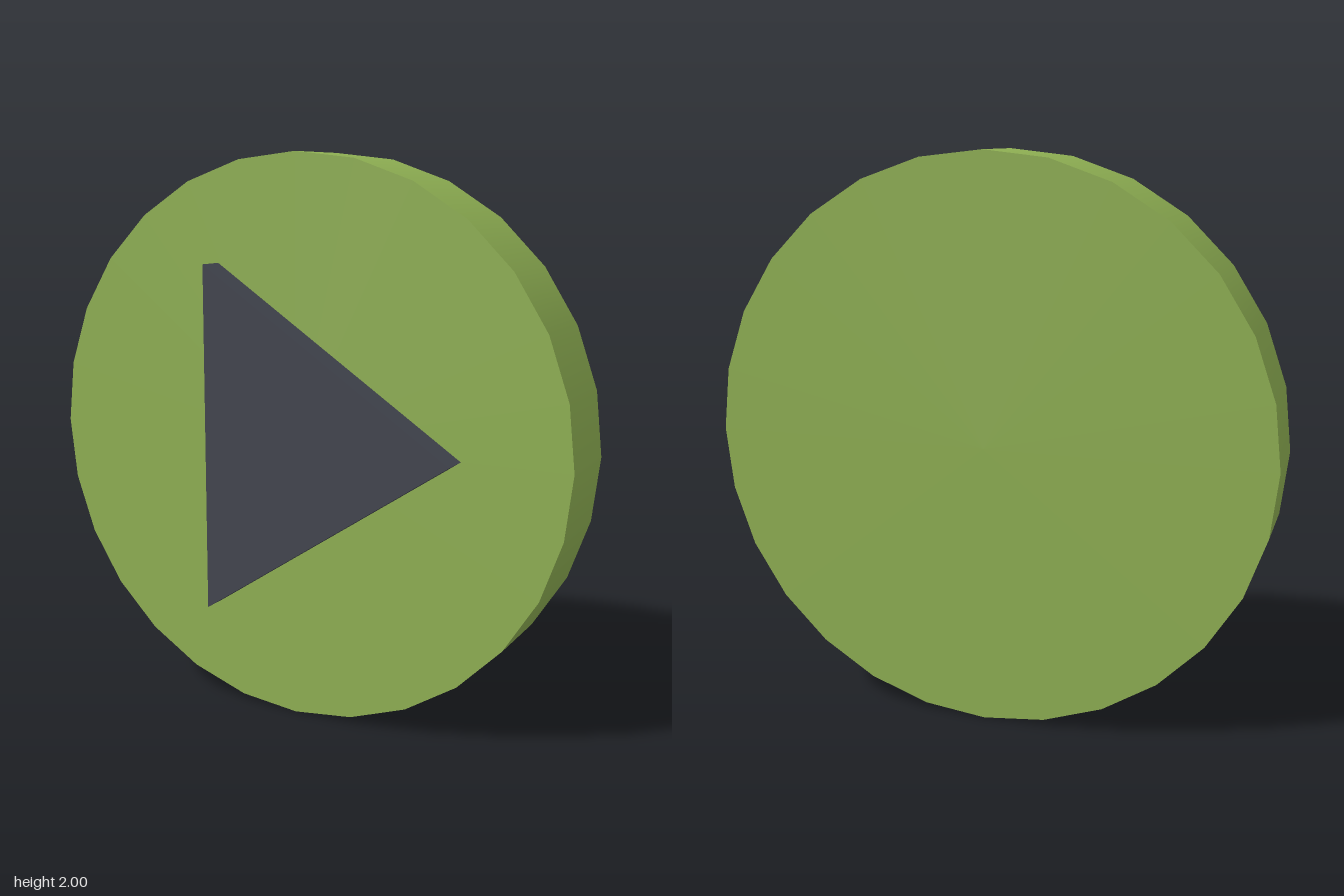
import * as THREE from 'three';

export function createModel() {
  const group = new THREE.Group();
  const green = new THREE.MeshStandardMaterial({ color: 0x8fb053 });
  green.name = 'green';
  const charcoal = new THREE.MeshStandardMaterial({ color: 0x42454f });
  charcoal.name = 'charcoal';

  // Round disc with a smooth rim, standing upright
  const discGeometry = new THREE.CylinderGeometry(1, 1, 0.3, 28);
  discGeometry.rotateX(Math.PI / 2);
  const disc = new THREE.Mesh(discGeometry, green);
  disc.name = 'disc';
  disc.position.set(0, 1, -0.05);
  group.add(disc);

  // Raised triangle on the front face, pointing to +x
  const outline = new THREE.Shape([
    new THREE.Vector2(-0.31, -0.62),
    new THREE.Vector2(0.62, 0),
    new THREE.Vector2(-0.31, 0.62),
  ]);
  const triangleGeometry = new THREE.ExtrudeGeometry(outline, { depth: 0.1, bevelEnabled: false });
  const triangle = new THREE.Mesh(triangleGeometry, charcoal);
  triangle.name = 'triangle';
  triangle.position.set(0, 1, 0.1);
  group.add(triangle);

  return group;
}
